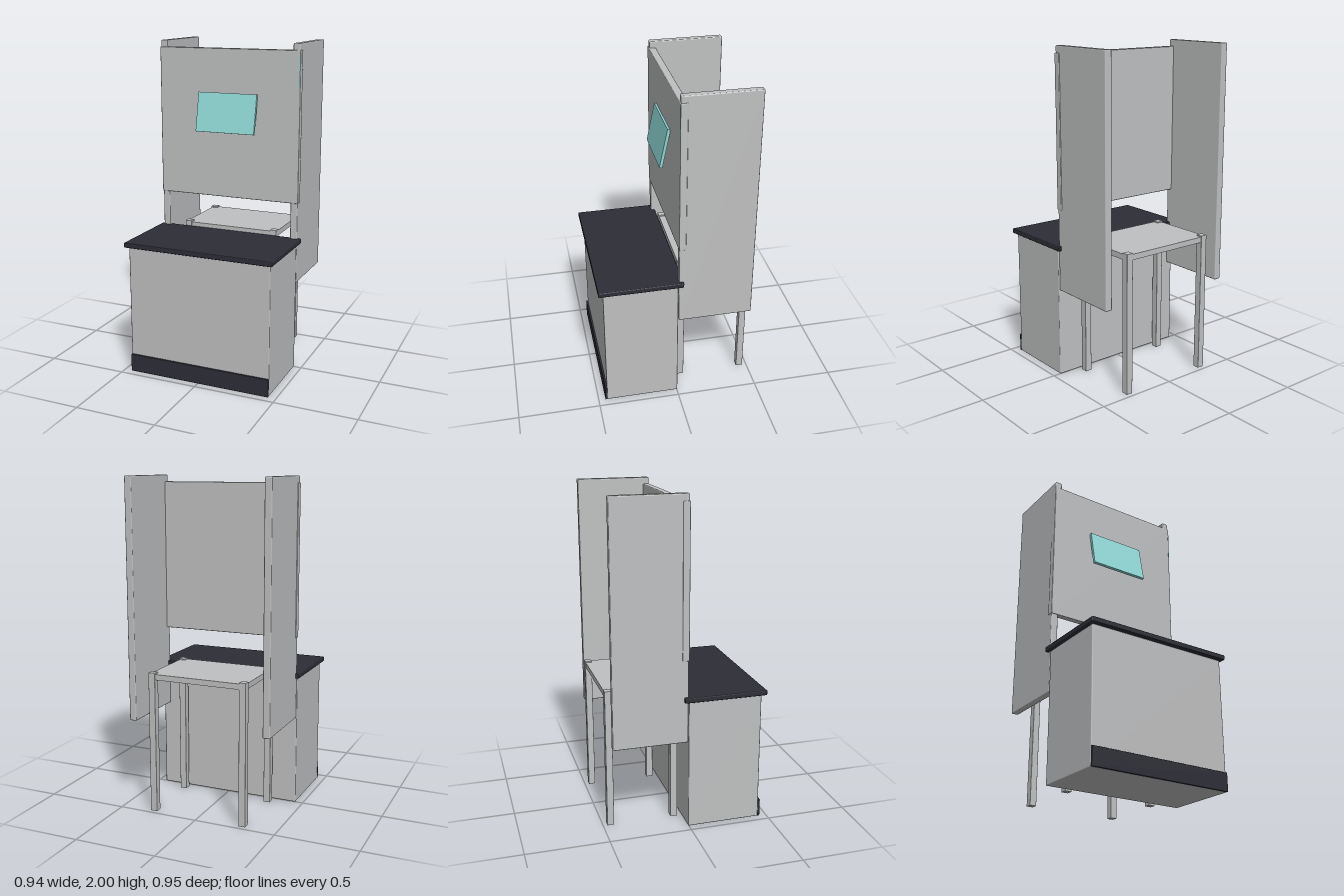
import * as THREE from 'three';
import { RoundedBoxGeometry } from 'three/addons/geometries/RoundedBoxGeometry.js';

const material = (name, color) => {
  const m = new THREE.MeshStandardMaterial({ color });
  m.name = name;
  return m;
};

export function createModel() {
  const grey = material('light grey', 0xbfc0c1);
  const dark = material('charcoal', 0x2d2d37);
  const teal = material('pale teal', 0x8fd8d6);
  const model = new THREE.Group();
  model.name = 'serviceBooth';

  // Box given by its lowest and highest corner, with optional softened edges
  const slab = (name, mat, [x0, y0, z0], [x1, y1, z1], radius = 0, parent = model) => {
    const size = [x1 - x0, y1 - y0, z1 - z0];
    const geometry = radius
      ? new RoundedBoxGeometry(...size, 2, radius)
      : new THREE.BoxGeometry(...size);
    const mesh = new THREE.Mesh(geometry, mat);
    mesh.name = name;
    mesh.position.set((x0 + x1) / 2, (y0 + y1) / 2, (z0 + z1) / 2);
    parent.add(mesh);
    return mesh;
  };

  // Counter cabinet with overhanging worktop and plinth
  slab('cabinet', grey, [-0.453, 0, -0.004], [0.453, 0.802, 0.446], 0.006);
  slab('worktop', dark, [-0.472, 0.802, -0.034], [0.472, 0.832, 0.474], 0.005);
  slab('plinth', dark, [-0.453, 0.001, 0.444], [0.453, 0.111, 0.458], 0.002);

  // Upright side panels joined by a front panel
  for (const [name, s] of [['leftSidePanel', 1], ['rightSidePanel', -1]]) {
    const x = s * 0.429;
    slab(name, grey, [x - 0.022, 0.55, -0.46], [x + 0.022, 2, -0.008], 0.006);
  }
  slab('frontPanel', grey, [-0.455, 1.052, -0.046], [0.455, 1.96, -0.004], 0.005);

  // Tilted display and a slim accent strip on the panel edge
  const display = slab('display', teal, [-0.19, 1.457, 0.015], [0.19, 1.697, 0.033]);
  display.rotation.x = -0.2;
  slab('accentStrip', teal, [0.448, 1.745, -0.012], [0.453, 1.955, -0.003]);

  // Stool behind the counter, its legs rising just above the seat
  const stool = new THREE.Group();
  stool.name = 'stool';
  model.add(stool);
  slab('seat', grey, [-0.307, 0.822, -0.47], [0.307, 0.856, -0.036], 0, stool);
  for (const x of [-0.289, 0.289]) {
    for (const z of [-0.453, -0.054]) {
      slab('stoolLeg', grey, [x - 0.021, 0, z - 0.021], [x + 0.021, 0.864, z + 0.021], 0.002, stool);
    }
  }
  return model;
}
